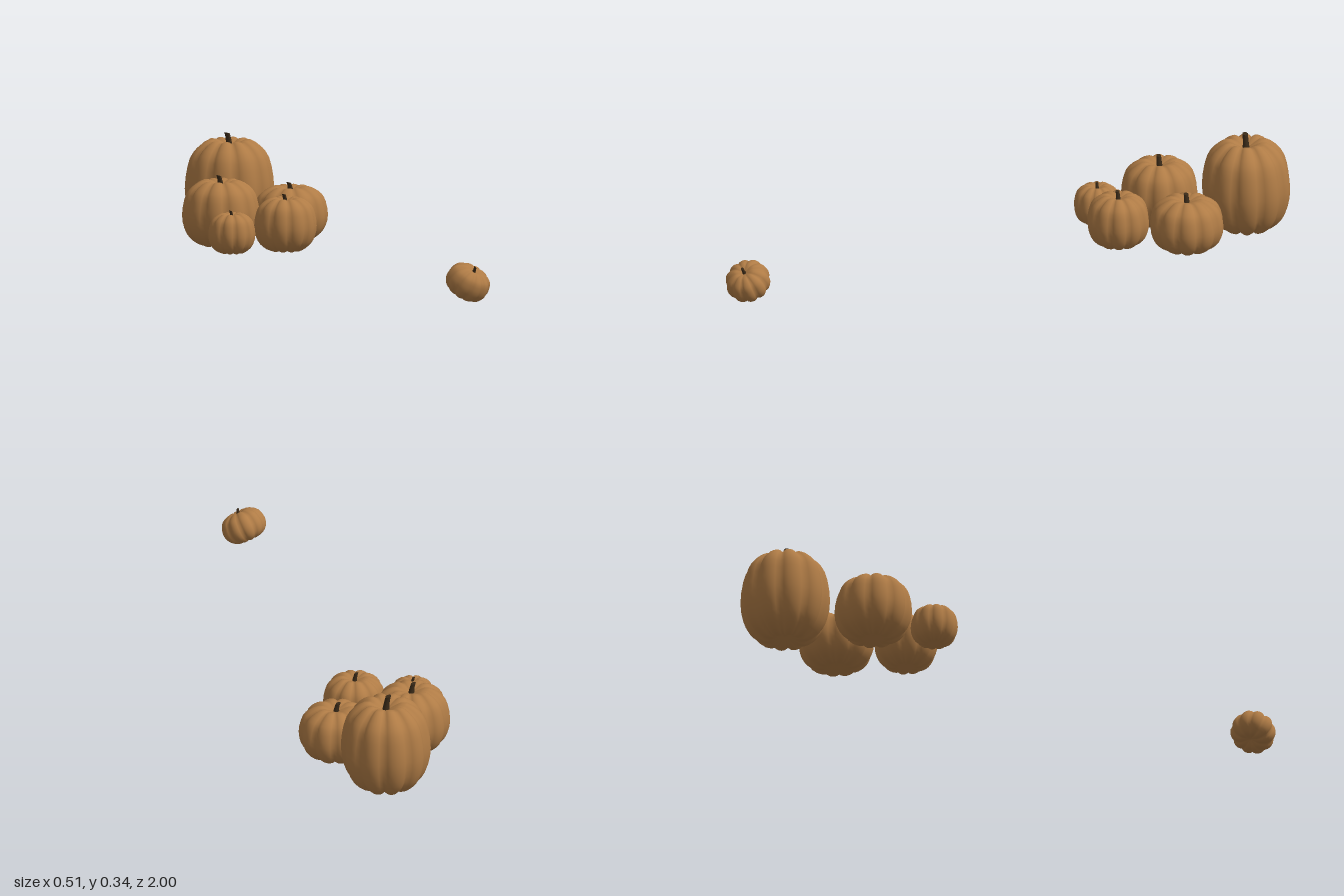
import * as THREE from 'three';
import { mergeVertices } from 'three/addons/utils/BufferGeometryUtils.js';

const LOBES = 10;
const skin = new THREE.MeshStandardMaterial({ color: 0xb07c46 });
const bark = new THREE.MeshStandardMaterial({ color: 0x3a2a18 });

// Half cross-section of a unit pumpkin: radius 1, height 0..1, dimpled at both ends
const profile = new THREE.SplineCurve([
  [0, 0.09], [0.2, 0.04], [0.45, 0], [0.74, 0.09], [0.92, 0.24], [1, 0.47],
  [0.92, 0.75], [0.75, 0.9], [0.45, 1], [0.2, 0.96], [0, 0.9],
].map(([r, y]) => new THREE.Vector2(r, y))).getPoints(24);
profile[0].x = profile[24].x = 0;

// Lathed body with rounded lobes and narrow grooves between them
function bodyGeometry(radius, height) {
  let geo = new THREE.LatheGeometry(profile, LOBES * 6);
  const p = geo.attributes.position;
  for (let i = 0; i < p.count; i++) {
    const x = p.getX(i), y = p.getY(i), z = p.getZ(i);
    const lobe = Math.abs(Math.cos(Math.atan2(x, z) * LOBES / 2));
    const groove = 0.1 * Math.pow(1 - lobe, 1.3);
    const r = Math.hypot(x, z);
    const s = radius * (1 - groove);
    const dip = groove * 0.6 * Math.min(1, r * 2) * (y - 0.5);
    p.setXYZ(i, x * s, (y - dip) * height, z * s);
  }
  geo.deleteAttribute('uv');
  geo.deleteAttribute('normal');
  geo = mergeVertices(geo, 1e-5);
  geo.computeVertexNormals();
  return geo;
}

// Stem: flared at the foot, leaning to one side, with a slanted cut
function stemGeometry(radius, height) {
  const geo = new THREE.CylinderGeometry(radius, radius, height, 8, 4);
  const p = geo.attributes.position;
  for (let i = 0; i < p.count; i++) {
    const t = p.getY(i) / height + 0.5;
    const flare = 1 + 0.6 * Math.pow(1 - t, 3);
    const x = p.getX(i), z = p.getZ(i);
    p.setXYZ(i, x * flare - radius * 0.9 * t * t, t * height - x * 0.25 * t, z * flare);
  }
  geo.computeVertexNormals();
  return geo;
}

function pumpkin(name, radius, height, stemTop) {
  const group = new THREE.Group();
  group.name = name;
  const body = new THREE.Mesh(bodyGeometry(radius, height), skin);
  body.name = name + 'Body';
  const foot = height * 0.88;
  const stem = new THREE.Mesh(stemGeometry(radius * 0.065, stemTop - foot), bark);
  stem.name = name + 'Stem';
  stem.position.y = foot;
  group.add(body, stem);
  return group;
}

export function createModel() {
  const model = new THREE.Group();
  model.name = 'pumpkinPatch';

  // Cluster: name, x, base y, z, radius, height, stem top above base
  const cluster = [
    ['largePumpkin', 0.028, 0.004, -0.85, 0.15, 0.311, 0.334],
    ['rightPumpkin', -0.125, 0.003, -0.6, 0.13, 0.219, 0.235],
    ['leftPumpkin', 0.133, 0.004, -0.6, 0.125, 0.181, 0.194],
    ['middlePumpkin', 0.017, 0.003, -0.4, 0.105, 0.178, 0.19],
    ['smallPumpkin', -0.181, 0.008, -0.4, 0.079, 0.133, 0.142],
  ];
  for (const [name, x, y, z, r, h, top] of cluster) {
    const item = pumpkin(name, r, h, top);
    item.position.set(x, y, z);
    model.add(item);
  }

  // Lone squat pumpkin tipped forward and to its left
  const lone = pumpkin('tippedPumpkin', 0.076, 0.1, 0.11);
  const axis = new THREE.Vector3(0.32, 0.85, 0.42).normalize();
  lone.quaternion.setFromUnitVectors(new THREE.Vector3(0, 1, 0), axis);
  lone.position.set(0.049, 0.075, 0.927).addScaledVector(axis, -0.05);
  model.add(lone);
  return model;
}
